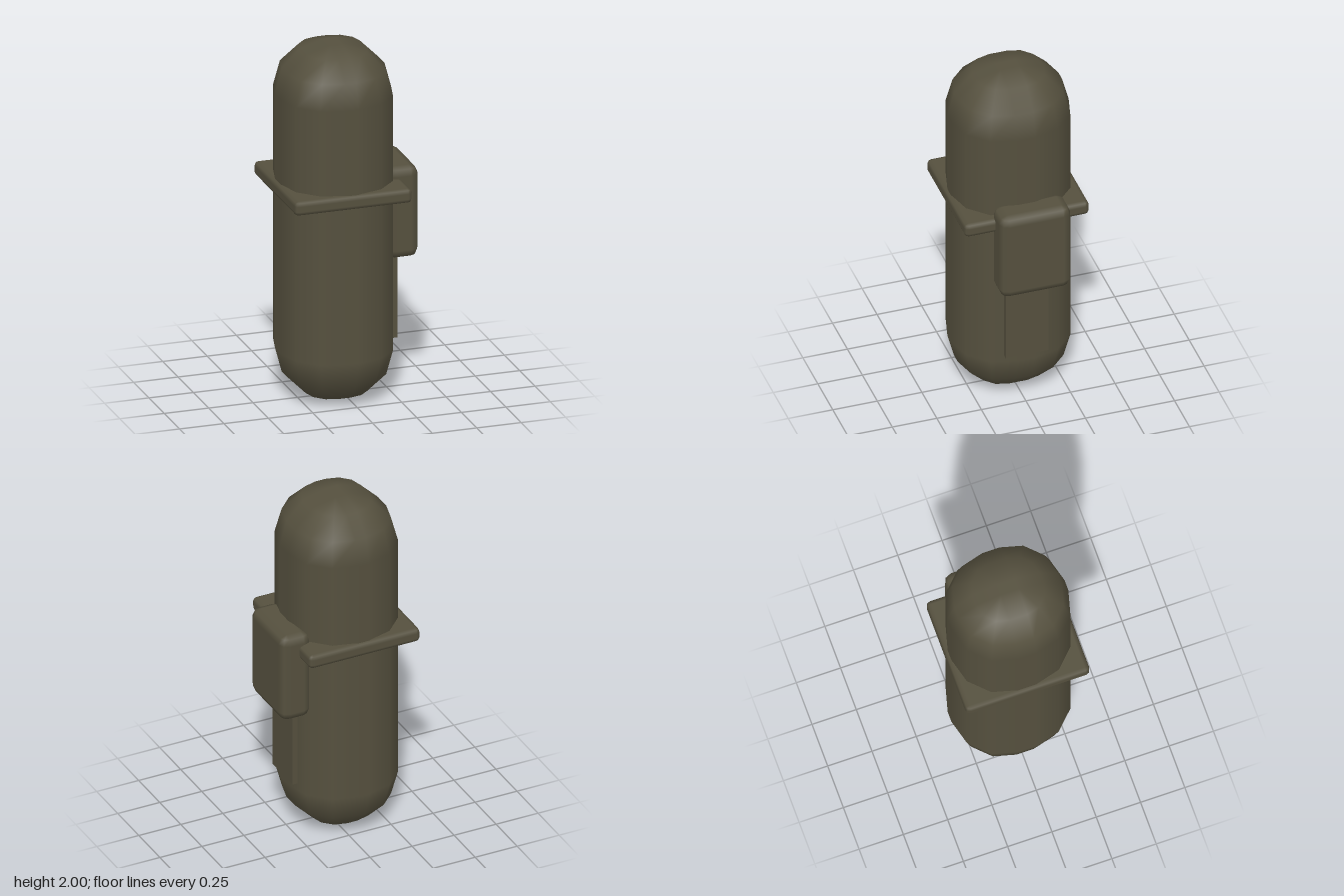
import * as THREE from 'three';

// Box spanning min..max with corner radius r, n facets per rounded edge, smooth normals
function roundedBox([x0, y0, z0], [x1, y1, z1], r, n) {
  const hx = (x1 - x0) / 2 - r, hy = (y1 - y0) / 2 - r, hz = (z1 - z0) / 2 - r;
  const pos = [], nor = [], idx = [];
  const cols = 4 * (n + 1), rows = 2 * (n + 1);
  for (let i = 0; i < rows; i++) {
    const lower = i <= n;
    const lat = ((lower ? i - n : i - n - 1) / n) * Math.PI / 2;
    for (let j = 0; j < cols; j++) {
      const q = Math.floor(j / (n + 1));
      const a = (q + (j % (n + 1)) / n) * Math.PI / 2;
      const nx = Math.cos(lat) * Math.cos(a), ny = Math.sin(lat), nz = Math.cos(lat) * Math.sin(a);
      pos.push((q === 0 || q === 3 ? hx : -hx) + nx * r, (lower ? -hy : hy) + ny * r, (q < 2 ? hz : -hz) + nz * r);
      nor.push(nx, ny, nz);
      if (i < rows - 1) {
        const k = (j + 1) % cols, b = i * cols, t = b + cols;
        idx.push(b + j, t + j, b + k, b + k, t + j, t + k);
      }
    }
  }
  // Flat end caps
  for (const s of [-1, 1]) {
    const c = pos.length / 3, b = s < 0 ? 0 : (rows - 1) * cols;
    pos.push(0, s * (hy + r), 0);
    nor.push(0, s, 0);
    for (let j = 0; j < cols; j++) {
      const k = (j + 1) % cols;
      if (s < 0) idx.push(c, b + j, b + k);
      else idx.push(c, b + k, b + j);
    }
  }
  const g = new THREE.BufferGeometry();
  g.setAttribute('position', new THREE.Float32BufferAttribute(pos, 3));
  g.setAttribute('normal', new THREE.Float32BufferAttribute(nor, 3));
  g.setIndex(idx);
  return g.translate((x0 + x1) / 2, (y0 + y1) / 2, (z0 + z1) / 2);
}

export function createModel() {
  const group = new THREE.Group();
  const olive = new THREE.MeshStandardMaterial({ color: 0x55503e });
  olive.name = 'dark olive';
  const add = (name, geometry) => {
    const mesh = new THREE.Mesh(geometry, olive);
    mesh.name = name;
    group.add(mesh);
  };

  // Tall pouch body with domed ends
  add('body', roundedBox([-0.36, 0, -0.33], [0.26, 2, 0.33], 0.28, 3));
  // Thin square band around the body
  add('band', roundedBox([-0.38, 1.16, -0.35], [0.28, 1.24, 0.35], 0.025, 2));
  // Side box, set slightly towards the back
  add('sideBox', roundedBox([0.2, 0.78, -0.22], [0.38, 1.3, 0.18], 0.05, 2));
  // Flat panel running down below the side box
  add('sidePanel', new THREE.BoxGeometry(0.04, 0.58, 0.24).translate(0.25, 0.61, 0));

  return group;
}
